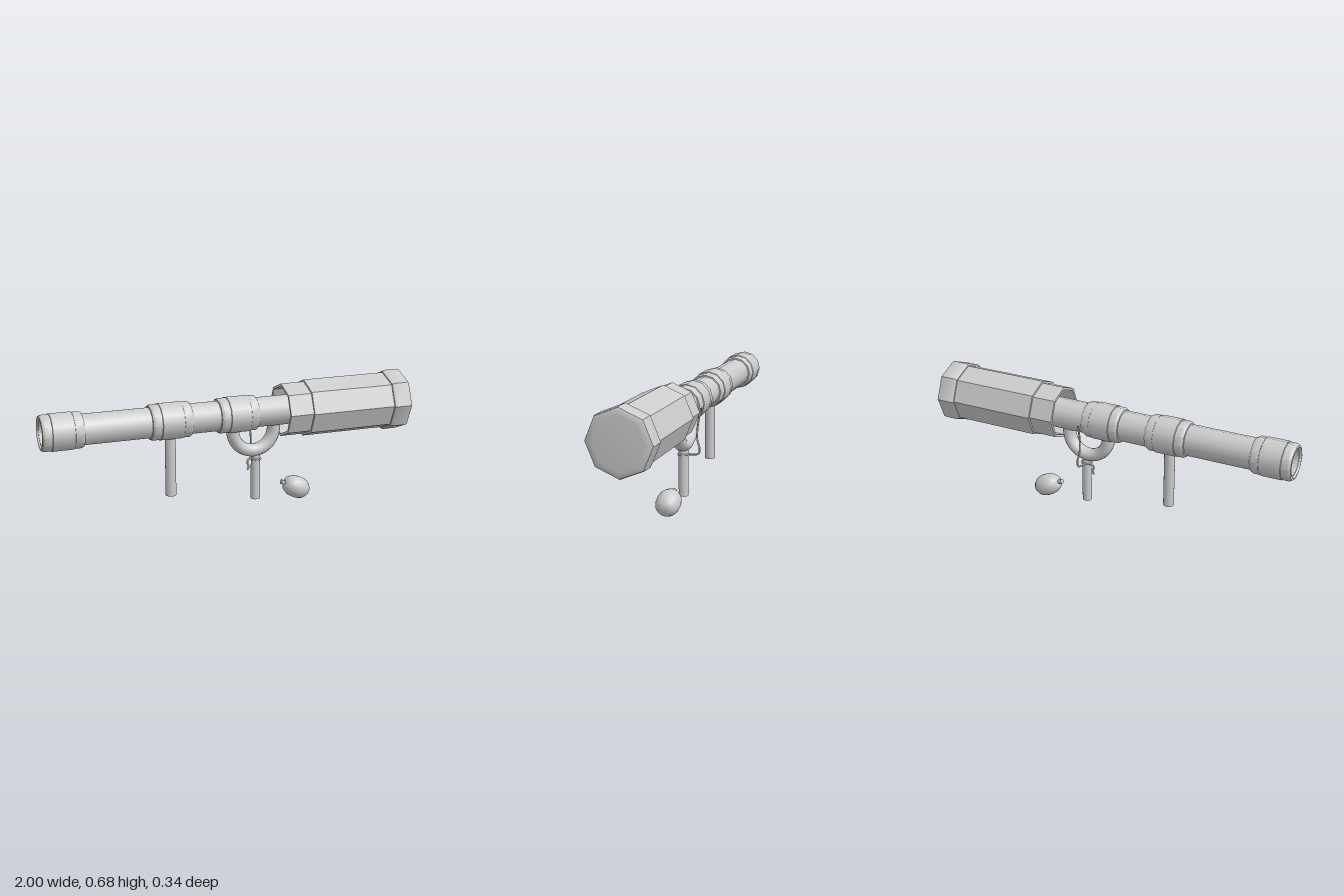
import * as THREE from 'three';
import { toCreasedNormals } from 'three/addons/utils/BufferGeometryUtils.js';

const material = new THREE.MeshStandardMaterial({ color: 0xcccccc, side: THREE.DoubleSide });
const AXIS_Y = 0.51;

function addMesh(parent, name, geometry) {
  const mesh = new THREE.Mesh(geometry, material);
  mesh.name = name;
  parent.add(mesh);
  return mesh;
}

// Turned part lying along x; profile is a list of [x, radius]
function turned(profile, sides, crease = 0.6) {
  const points = profile.map(([x, r]) => new THREE.Vector2(r, x));
  const geometry = new THREE.LatheGeometry(points, sides).rotateZ(-Math.PI / 2);
  return toCreasedNormals(geometry, crease);
}

// Rounded sleeve with a shallow raised band near each end
function collarProfile(x0, x1) {
  const r = 0.095, inner = 0.07;
  return [
    [x0 + 0.012, inner], [x0, 0.078], [x0 + 0.002, 0.088], [x0 + 0.014, r],
    [x0 + 0.05, r], [x0 + 0.052, r + 0.003], [x1 - 0.052, r + 0.003], [x1 - 0.05, r],
    [x1 - 0.014, r], [x1 - 0.002, 0.088], [x1, 0.078], [x1 - 0.012, inner],
  ];
}

function cord(points, radius) {
  const curve = new THREE.CatmullRomCurve3(points.map((p) => new THREE.Vector3(...p)));
  return new THREE.TubeGeometry(curve, 40, radius, 8);
}

export function createModel() {
  const model = new THREE.Group();
  model.name = 'launcher';

  const tube = new THREE.Group();
  tube.name = 'tubeAssembly';
  tube.position.set(0, AXIS_Y, 0);
  model.add(tube);

  // Hollow barrel, open at the rear
  const barrel = addMesh(tube, 'barrel', turned([
    [0.4, 0], [0.4, 0.066], [-0.99, 0.066], [-0.99, 0.081], [0.45, 0.081], [0.45, 0],
  ], 12));
  barrel.position.z = -0.006;

  // Sleeves around the barrel
  [['rearCollar', -1, -0.785], ['middleCollar', -0.44, -0.22], ['frontCollar', -0.07, 0.145]]
    .forEach(([name, x0, x1]) => {
      addMesh(tube, name, turned(collarProfile(x0, x1), 12, 0.7)).position.z = -0.006;
    });

  // Eight-sided head: hollow neck, body and end cap
  addMesh(tube, 'headNeck', turned([
    [0.43, 0.08], [0.43, 0.13], [0.29, 0.13], [0.29, 0.144], [0.43, 0.144],
  ], 8));
  addMesh(tube, 'headBody', turned([
    [0.42, 0.08], [0.42, 0.155], [0.9, 0.155],
  ], 8));
  addMesh(tube, 'headCap', turned([
    [0.89, 0.15], [0.893, 0.16], [0.908, 0.168], [0.982, 0.168],
    [0.992, 0.164], [0.998, 0.152], [1, 0.13], [1, 0],
  ], 8));

  // Two upright grips
  [['rearGrip', -0.327, 0.11, 0.44, 0.028, 0], ['frontGrip', 0.152, 0.03, 0.3, 0.025, -0.01]]
    .forEach(([name, x, y0, y1, r, z]) => {
      const grip = addMesh(model, name, new THREE.CylinderGeometry(r, r, y1 - y0, 16));
      grip.position.set(x, (y0 + y1) / 2, z);
    });

  // Half-ring bracket that carries the front grip
  const bracket = addMesh(model, 'gripBracket',
    new THREE.TorusGeometry(0.116, 0.034, 14, 28, Math.PI).rotateZ(Math.PI));
  bracket.scale.z = 1.15;
  bracket.position.set(0.138, 0.418, -0.01);
  for (const side of [-1, 1]) {
    const post = addMesh(model, 'bracketEnd', new THREE.CylinderGeometry(0.034, 0.034, 0.06, 14));
    post.scale.z = 1.15;
    post.position.set(0.138 + side * 0.116, 0.445, -0.01);
  }

  // Cord from the front collar to the grip, with a knotted tail
  addMesh(model, 'cord', cord([
    [0.15, 0.5, -0.105], [0.15, 0.44, -0.092], [0.152, 0.38, -0.085], [0.155, 0.335, -0.086],
    [0.16, 0.295, -0.099], [0.158, 0.265, -0.096], [0.154, 0.255, -0.07], [0.15, 0.253, -0.03],
  ], 0.005));
  const loop = addMesh(model, 'cordLoop', new THREE.TorusGeometry(0.027, 0.005, 8, 24).rotateX(Math.PI / 2));
  loop.position.set(0.152, 0.253, -0.01);
  addMesh(model, 'cordTail', cord([
    [0.135, 0.253, -0.025], [0.115, 0.25, -0.02], [0.108, 0.23, -0.015], [0.115, 0.212, -0.015], [0.108, 0.192, -0.015],
  ], 0.005));

  // Loose pouch with a narrow tied neck, lying on its side
  const pouch = addMesh(model, 'pouch', toCreasedNormals(turned([
    [-0.09, 0], [-0.09, 0.013], [-0.068, 0.011], [-0.066, 0.024], [-0.055, 0.04], [-0.03, 0.054],
    [0, 0.059], [0.03, 0.058], [0.055, 0.05], [0.073, 0.034], [0.081, 0.016], [0.083, 0],
  ], 20), 0.9));
  pouch.rotation.z = -0.42;
  pouch.scale.z = 1.07;
  pouch.position.set(0.388, 0.066, -0.015);

  return model;
}
